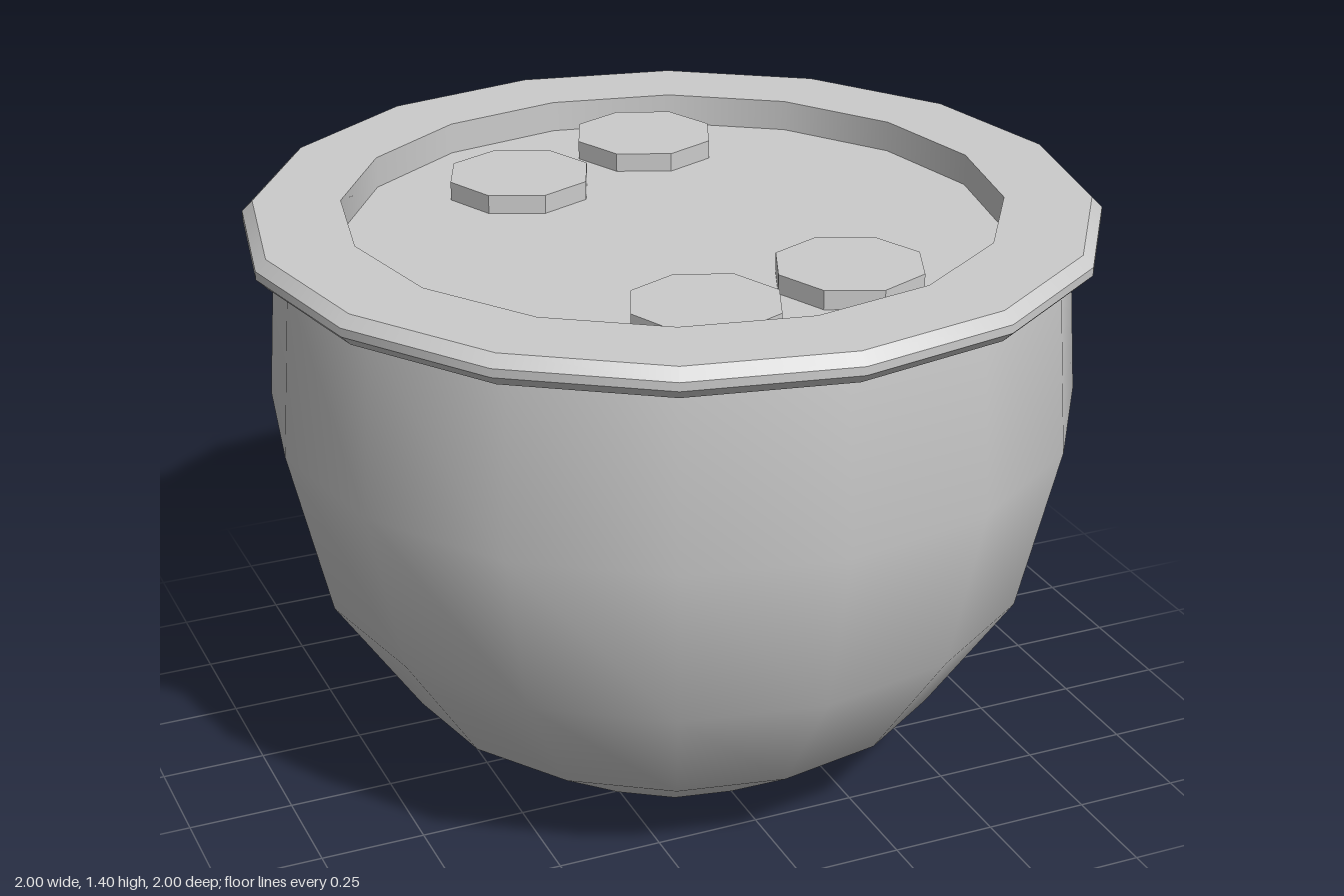
import * as THREE from 'three';

const SIDES = 16;
const material = new THREE.MeshStandardMaterial({ color: 0xcccccc });

// Revolved surface that is smooth along its profile; separate bands give sharp edges.
function addBand(parent, name, profile) {
  const points = profile.map(([r, y]) => new THREE.Vector2(r, y));
  const mesh = new THREE.Mesh(new THREE.LatheGeometry(points, SIDES), material);
  mesh.name = name;
  parent.add(mesh);
}

export function createModel() {
  const model = new THREE.Group();
  model.name = 'bowlOfSoup';

  // Bowl: flat foot and rounded wall
  const bowl = new THREE.Group();
  bowl.name = 'bowl';
  addBand(bowl, 'bowlBase', [[0, 0], [0.36, 0]]);
  addBand(bowl, 'bowlWall', [[0.36, 0], [0.66, 0.205], [0.865, 0.51], [0.96, 0.92], [0.93, 1.335]]);
  model.add(bowl);

  // Rim: bevelled lip, each profile segment its own band
  const rim = new THREE.Group();
  rim.name = 'rim';
  const lip = [
    [0.77, 1.335], [0.975, 1.335], [1, 1.36], [1, 1.38],
    [0.975, 1.405], [0.77, 1.405], [0.77, 1.33],
  ];
  const names = ['rimUnderside', 'rimLowerBevel', 'rimEdge', 'rimUpperBevel', 'rimTop', 'rimInnerWall'];
  names.forEach((name, i) => addBand(rim, name, [lip[i], lip[i + 1]]));
  model.add(rim);

  // Liquid surface
  addBand(model, 'liquid', [[0.77, 1.33], [0, 1.33]]);

  // Floating octagonal pieces
  const pieceGeometry = new THREE.CylinderGeometry(0.175, 0.175, 0.07, 8).toNonIndexed();
  pieceGeometry.computeVertexNormals();
  const spots = [[-0.235, -0.39], [0.155, -0.545], [-0.155, 0.54], [0.23, 0.46]];
  spots.forEach(([x, z], i) => {
    const piece = new THREE.Mesh(pieceGeometry, material);
    piece.name = `floatingPiece${i + 1}`;
    piece.position.set(x, 1.34, z);
    model.add(piece);
  });

  return model;
}
